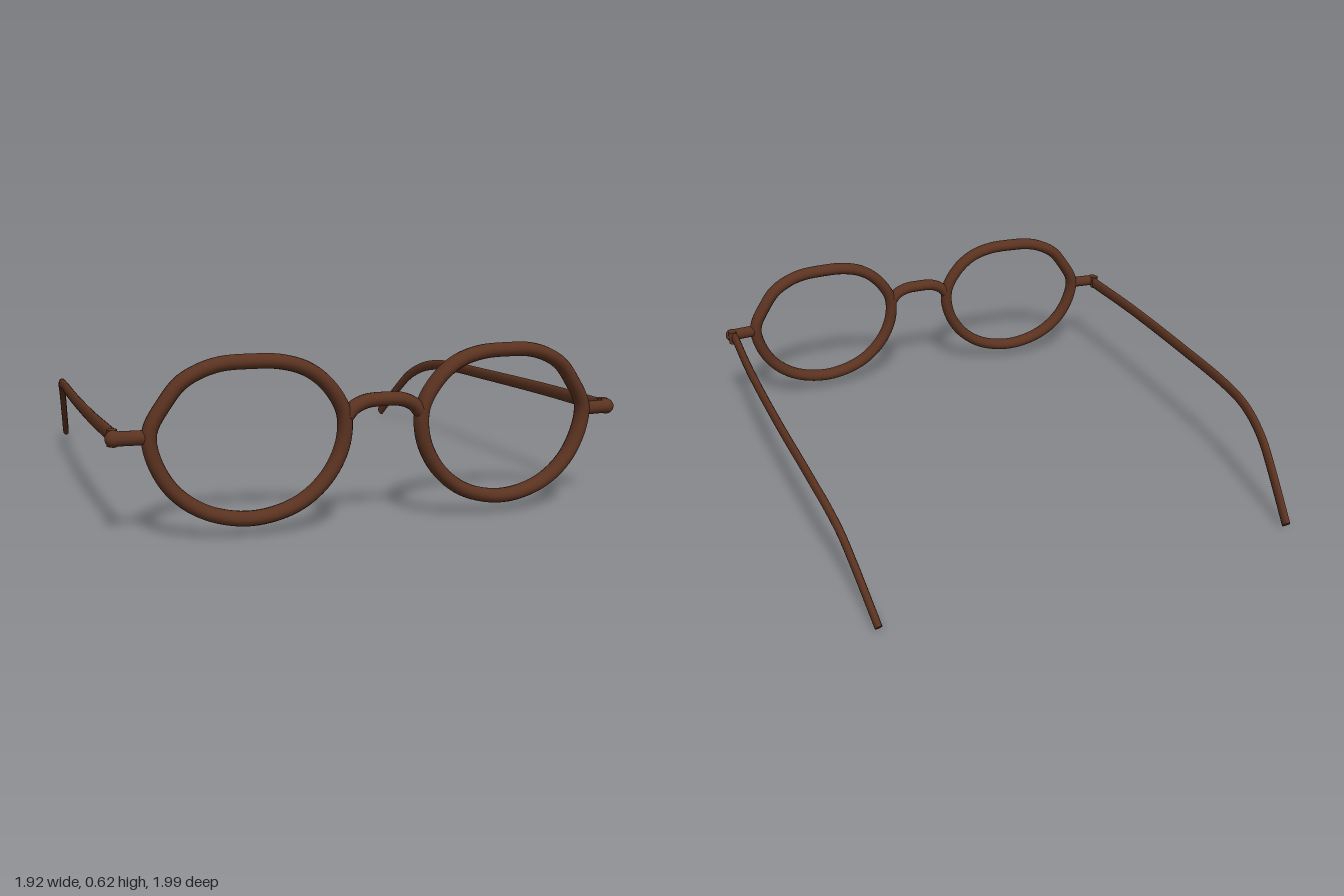
import * as THREE from 'three';

const V = (x, y, z) => new THREE.Vector3(x, y, z);

// Sweeps an oval section along a smooth path; b is the half-size along ref, a the half-size across it
function sweep(points, a, b, ref, { closed = false, steps = 64, sides = 16, taper = () => 1 } = {}) {
  const curve = new THREE.CatmullRomCurve3(points, closed, 'centripetal');
  const pos = [], index = [];
  const rings = closed ? steps : steps + 1;
  const ring = (i) => {
    const u = i / steps, c = curve.getPointAt(u), t = curve.getTangentAt(u);
    const B = ref.clone().addScaledVector(t, -ref.dot(t)).normalize();
    const N = B.clone().cross(t), k = taper(u);
    for (let j = 0; j < sides; j++) {
      const q = (j / sides) * Math.PI * 2;
      const p = c.clone().addScaledVector(N, a * k * Math.cos(q)).addScaledVector(B, b * k * Math.sin(q));
      pos.push(p.x, p.y, p.z);
    }
    return c;
  };
  for (let i = 0; i < rings; i++) ring(i);
  for (let i = 0; i < steps; i++) {
    for (let j = 0; j < sides; j++) {
      const i2 = (i + 1) % rings, j2 = (j + 1) % sides;
      const p = i * sides + j, q = i * sides + j2, r = i2 * sides + j, s = i2 * sides + j2;
      index.push(p, q, r, q, s, r);
    }
  }
  // Flat end caps on their own vertices
  if (!closed) {
    for (const end of [0, steps]) {
      const start = pos.length / 3, c = ring(end), mid = pos.length / 3;
      pos.push(c.x, c.y, c.z);
      for (let j = 0; j < sides; j++) {
        const p = start + j, q = start + (j + 1) % sides;
        if (end) index.push(mid, p, q); else index.push(mid, q, p);
      }
    }
  }
  const g = new THREE.BufferGeometry();
  g.setAttribute('position', new THREE.Float32BufferAttribute(pos, 3));
  g.setIndex(index);
  g.computeVertexNormals();
  return g;
}

// The front bows gently backwards towards the sides
const bow = (x) => 0.965 - 0.054 * x * x;

const RIM = [
  [0.482, 0.603], [0.58, 0.598], [0.655, 0.575], [0.716, 0.538], [0.763, 0.48], [0.817, 0.382],
  [0.808, 0.295], [0.748, 0.183], [0.64, 0.101], [0.482, 0.066], [0.322, 0.101], [0.214, 0.185],
  [0.153, 0.3], [0.149, 0.413], [0.207, 0.511], [0.283, 0.57], [0.375, 0.598],
];
const TEMPLE = [
  [0.926, 0.363, 0.87], [0.935, 0.36, 0.5], [0.929, 0.352, 0], [0.917, 0.345, -0.35], [0.908, 0.331, -0.5],
  [0.895, 0.304, -0.61], [0.878, 0.252, -0.72], [0.863, 0.18, -0.81], [0.834, 0.022, -0.982],
];

export function createModel() {
  const model = new THREE.Group();
  const brown = new THREE.MeshStandardMaterial({ color: 0x5a3220 });
  brown.name = 'brown frame';
  const X = V(1, 0, 0), Z = V(0, 0, 1);
  const add = (name, geometry, parent = model) => {
    const m = new THREE.Mesh(geometry, brown);
    m.name = name;
    parent.add(m);
    return m;
  };

  // Nose bridge
  const bridge = [[-0.138, 0.4], [-0.115, 0.426], [-0.07, 0.447], [0, 0.452], [0.07, 0.447], [0.115, 0.426], [0.138, 0.4]];
  add('bridge', sweep(bridge.map(([x, y]) => V(x, y, bow(x))), 0.025, 0.032, Z, { steps: 32 }));

  for (const s of [1, -1]) {
    const side = new THREE.Group();
    side.name = s > 0 ? 'leftSide' : 'rightSide';
    model.add(side);

    // Lens rim
    add('rim', sweep(RIM.map(([x, y]) => V(s * x, y, bow(x))), 0.026, 0.033, Z, { closed: true, steps: 96 }), side);

    // End piece running out from the rim to a rounded corner
    add('endPiece', sweep([V(s * 0.815, 0.364, 0.928), V(s * 0.87, 0.364, 0.923), V(s * 0.935, 0.364, 0.917)],
      0.025, 0.027, Z, { steps: 10 }), side);
    const knob = add('endKnob', new THREE.SphereGeometry(0.029, 20, 14), side);
    knob.position.set(s * 0.933, 0.364, 0.914);

    // Hinge barrel and pin joining the temple
    const barrel = add('hinge', new THREE.CylinderGeometry(0.018, 0.018, 0.056, 16), side);
    barrel.position.set(s * 0.934, 0.363, 0.891);
    const pin = add('hingePin', new THREE.BoxGeometry(0.016, 0.03, 0.04), side);
    pin.position.set(s * 0.927, 0.364, 0.872);

    // Temple arm bending down behind the ear
    add('temple', sweep(TEMPLE.map(([x, y, z]) => V(s * x, y, z)), 0.027, 0.016, X,
      { taper: (u) => 1 - 0.17 * u }), side);
  }
  return model;
}
